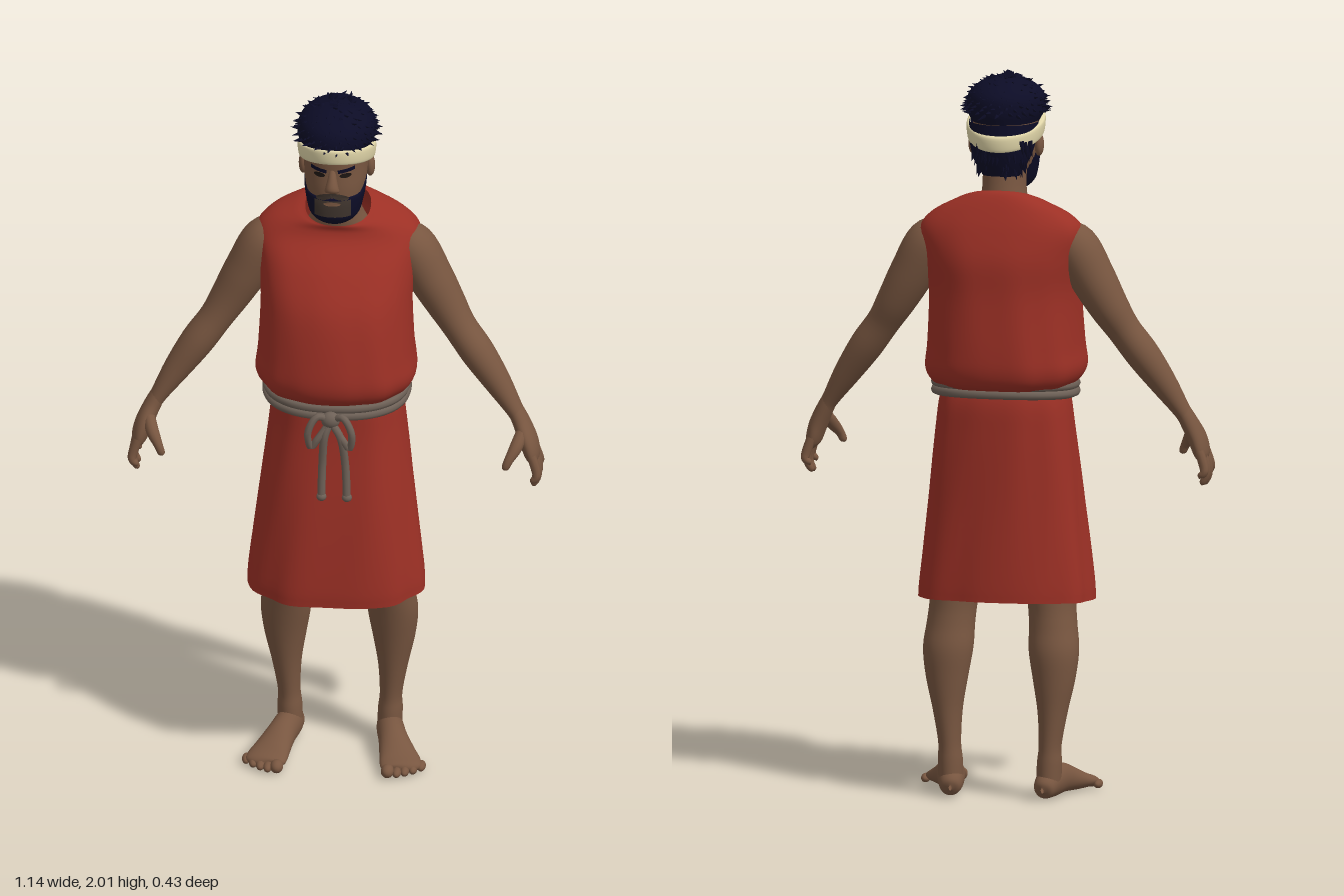
import * as THREE from 'three';
import { mergeGeometries } from 'three/addons/utils/BufferGeometryUtils.js';

const V = (x, y, z) => new THREE.Vector3(x, y, z);
const paint = (name, color) => {
  const m = new THREE.MeshStandardMaterial({ color, side: THREE.DoubleSide });
  m.name = name;
  return m;
};

// Smooth skin over elliptical rings [x, y, z, radiusU, radiusV].
// With no ref the rings stay level (U = x, V = z); otherwise they follow the path and V leans to ref.
function sweep(rows, { ref = null, segs = 28, steps = 5, power = 2, bend = null } = {}) {
  const path = new THREE.CatmullRomCurve3(rows.map(r => V(r[0], r[1], r[2])), false, 'catmullrom', 0.5);
  const radii = new THREE.CatmullRomCurve3(rows.map(r => V(r[3], r[4], 0)), false, 'catmullrom', 0.5);
  const n = (rows.length - 1) * steps, pos = [], index = [];
  const up = Math.sign(rows[rows.length - 1][1] - rows[0][1]);
  const round = c => Math.sign(c) * Math.abs(c) ** (2 / power);
  for (let i = 0; i <= n; i++) {
    const c = path.getPoint(i / n), r = radii.getPoint(i / n);
    const t = ref ? path.getTangent(i / n) : V(0, up, 0);
    const u = (ref || V(0, 0, 1)).clone().cross(t).normalize(), v = t.clone().cross(u);
    for (let j = 0; j < segs; j++) {
      const a = j / segs * Math.PI * 2;
      const p = c.clone().addScaledVector(u, Math.max(r.x, 0.0005) * round(Math.cos(a)))
        .addScaledVector(v, Math.max(r.y, 0.0005) * round(Math.sin(a)));
      if (bend) bend(p, a, i / n, c);
      pos.push(p.x, p.y, p.z);
      if (i < n) {
        const k = i * segs + j, l = i * segs + (j + 1) % segs;
        index.push(k, l, k + segs, l, l + segs, k + segs);
      }
    }
  }
  const g = new THREE.BufferGeometry();
  g.setAttribute('position', new THREE.Float32BufferAttribute(pos, 3));
  g.setIndex(index);
  g.computeVertexNormals();
  return g;
}

// Lays a flat geometry onto the front of a mesh
function drape(geo, target, lift) {
  const ray = new THREE.Raycaster(), p = geo.attributes.position;
  for (let i = 0; i < p.count; i++) {
    ray.set(V(p.getX(i), p.getY(i), 1), V(0, 0, -1));
    const hit = ray.intersectObject(target)[0];
    p.setZ(i, (hit ? hit.point.z : 0.1) + lift);
  }
  geo.computeVertexNormals();
  return geo;
}

export function createModel() {
  const model = new THREE.Group();
  const skin = paint('skin', 0x785640), cloth = paint('red cloth', 0x9c3025), hair = paint('dark hair', 0x0c0c26),
    rope = paint('rope', 0x6e6157), linen = paint('headband linen', 0xe0d5a8),
    stubble = paint('stubble', 0x40352e), dark = paint('eye dark', 0x1c1512);
  const add = (name, geo, mat) => {
    const m = new THREE.Mesh(geo, mat);
    m.name = name;
    model.add(m);
    return m;
  };
  const ball = (x, y, z, rx, ry, rz) => new THREE.SphereGeometry(1, 16, 12).scale(rx, ry, rz).translate(x, y, z);

  // Tunic: bloused top with a dipping neckline, and a flared skirt with soft folds
  const fold = (p, a, c, amount, count) => {
    const k = 1 + amount * Math.sin(a * count + 0.6) + amount * 0.5 * Math.sin(a * (count + 4) + p.y * 9);
    p.x = c.x + (p.x - c.x) * k;
    p.z = c.z + (p.z - c.z) * k;
  };
  const top = add('tunicTop', sweep([
    [0, 1.13, 0, 0.165, 0.135], [0, 1.15, 0, 0.2, 0.185], [0, 1.19, 0.002, 0.22, 0.208], [0, 1.26, 0, 0.213, 0.208],
    [0, 1.4, -0.01, 0.207, 0.188], [0, 1.5, -0.037, 0.217, 0.157], [0, 1.575, -0.058, 0.226, 0.115],
    [0, 1.62, -0.055, 0.19, 0.095], [0, 1.65, -0.042, 0.125, 0.085], [0, 1.658, -0.032, 0.09, 0.076]
  ], {
    segs: 64, power: 2.3, bend: (p, a, t, c) => {
      fold(p, a, c, 0.012 * (1 - t), 9);
      p.y -= 0.4 * (p.z - c.z) * THREE.MathUtils.smoothstep(t, 0.6, 1);
    }
  }), cloth);
  add('tunicSkirt', sweep([
    [0, 1.17, 0, 0.16, 0.13], [0, 1.1, -0.01, 0.178, 0.145], [0, 1.0, -0.01, 0.19, 0.15],
    [0, 0.8, 0, 0.213, 0.163], [0, 0.6, 0.005, 0.238, 0.174], [0, 0.54, 0.005, 0.242, 0.174]
  ], {
    segs: 64, power: 2.5, bend: (p, a, t, c) => {
      fold(p, a, c, 0.012 + 0.008 * t, 7);
      p.y -= 0.08 * t * p.z;
    }
  }), cloth);
  add('chestPocket', drape(new THREE.PlaneGeometry(0.09, 0.11, 10, 10).rotateZ(-0.08).translate(0.125, 1.415, 0), top, 0.007), cloth);
  add('pocketFlap', drape(new THREE.PlaneGeometry(0.1, 0.025, 10, 3).rotateZ(-0.12).translate(0.125, 1.465, 0), top, 0.012), cloth);

  // Rope belt of two strands, with knot, bows and tails
  for (const s of [-1, 1]) {
    const pts = Array.from({ length: 32 }, (_, i) => {
      const a = i / 32 * Math.PI * 2, r = c => Math.sign(c) * Math.abs(c) ** 0.85;
      return V(0.191 * r(Math.cos(a)), 1.128 + s * 0.011 - 0.013 * Math.sin(a), 0.157 * r(Math.sin(a)));
    });
    add('beltStrand', new THREE.TubeGeometry(new THREE.CatmullRomCurve3(pts, true), 96, 0.013, 8, true), rope);
    const cord = (name, list, r) => add(name, new THREE.TubeGeometry(
      new THREE.CatmullRomCurve3(list.map(q => V(...q))), 28, r, 8), rope);
    cord('beltBow', [[0, 1.1, 0.18], [s * 0.035, 1.12, 0.2], [s * 0.06, 1.075, 0.208], [s * 0.052, 1.025, 0.195],
      [s * 0.035, 1.05, 0.197], [0, 1.1, 0.185]], 0.01);
    const x = s > 0 ? 0.045 : -0.025;
    cord('beltTail', [[0, 1.1, 0.185], [x * 0.6, 1.06, 0.195], [x * 0.9, 0.97, 0.185], [x, 0.87, 0.187]], 0.011);
    add('beltTailEnd', ball(x, 0.872, 0.187, 0.014, 0.013, 0.013), rope);
  }
  add('beltKnot', ball(0, 1.105, 0.185, 0.026, 0.024, 0.02), rope);

  // Arms, hands, legs and feet
  for (const s of [-1, 1]) {
    const side = s > 0 ? 'left' : 'right';
    const limb = (name, rows, opts) => add(side + name, sweep(rows.map(r => [r[0] * s, ...r.slice(1)]), opts), skin);
    const Z = V(0, 0, 1), Y = V(0, 1, 0);
    limb('Arm', [[0.15, 1.575, -0.05, 0.03, 0.04], [0.2, 1.535, -0.05, 0.062, 0.07], [0.25, 1.445, -0.047, 0.062, 0.07],
      [0.295, 1.365, -0.042, 0.054, 0.062], [0.335, 1.3, -0.03, 0.046, 0.053], [0.385, 1.23, -0.018, 0.046, 0.053],
      [0.44, 1.15, -0.005, 0.037, 0.042], [0.488, 1.075, 0.008, 0.024, 0.032], [0.505, 1.045, 0.012, 0.022, 0.032]], { ref: Z });
    limb('Palm', [[0.49, 1.075, 0.008, 0.022, 0.03], [0.508, 1.04, 0.015, 0.024, 0.036], [0.528, 0.995, 0.028, 0.025, 0.049],
      [0.54, 0.955, 0.032, 0.021, 0.05], [0.545, 0.935, 0.033, 0.01, 0.035], [0.545, 0.93, 0.033, 0.001, 0.001]], { ref: Z });
    for (let f = 0; f < 4; f++) {
      const z = 0.07 - f * 0.026, e = z + (z - 0.03) * 0.25, tip = [0.885, 0.862, 0.866, 0.89][f];
      limb('Finger', [[0.54, 0.965, z, 0.013, 0.014], [0.553, 0.925, (z + e) / 2, 0.013, 0.013],
        [0.555, (0.925 + tip) / 2, e, 0.011, 0.011], [0.545, tip + 0.008, e, 0.009, 0.009], [0.542, tip, e, 0.001, 0.001]],
        { ref: Z, segs: 10, steps: 4 });
    }
    limb('Thumb', [[0.515, 1.03, 0.035, 0.016, 0.018], [0.5, 0.995, 0.077, 0.018, 0.018], [0.482, 0.965, 0.1, 0.013, 0.013],
      [0.472, 0.942, 0.106, 0.01, 0.01], [0.47, 0.935, 0.107, 0.001, 0.001]], { ref: Z, segs: 12 });

    limb('Leg', [[0.1, 0.9, -0.02, 0.08, 0.09], [0.12, 0.7, -0.03, 0.082, 0.09], [0.135, 0.55, -0.04, 0.067, 0.078],
      [0.142, 0.48, -0.052, 0.066, 0.073], [0.147, 0.41, -0.068, 0.069, 0.071], [0.149, 0.33, -0.076, 0.058, 0.061],
      [0.146, 0.24, -0.081, 0.041, 0.05], [0.14, 0.15, -0.085, 0.031, 0.042], [0.138, 0.1, -0.085, 0.034, 0.044],
      [0.136, 0.04, -0.085, 0.034, 0.046]]);
    limb('Foot', [[0.128, 0.03, -0.14, 0.004, 0.008], [0.13, 0.034, -0.127, 0.028, 0.029], [0.138, 0.046, -0.075, 0.037, 0.044],
      [0.152, 0.046, -0.01, 0.04, 0.042], [0.17, 0.032, 0.05, 0.05, 0.031], [0.182, 0.023, 0.09, 0.057, 0.022],
      [0.188, 0.018, 0.12, 0.05, 0.016], [0.189, 0.016, 0.13, 0.002, 0.002]], { ref: Y });
    for (let k = 0; k < 5; k++) {
      const r = k ? 0.0125 : 0.018;
      add(side + 'Toe', ball(s * (0.152 + k * 0.021 + (k ? 0.004 : 0)), r + 0.001, 0.142 - k * k * 0.0025 - k * 0.003, r, r, 0.025), skin);
    }
    // Ear
    add(side + 'Ear', ball(s * 0.092, 1.8, 0.005, 0.013, 0.032, 0.02).rotateX(0), skin);
  }

  // Neck, head and face
  add('neck', sweep([[0, 1.55, -0.05, 0.11, 0.07], [0, 1.615, -0.035, 0.082, 0.07], [0, 1.67, -0.022, 0.062, 0.066],
    [0, 1.76, -0.01, 0.06, 0.062]]), skin);
  const head = add('head', sweep([[0, 1.668, 0.06, 0.03, 0.035], [0, 1.69, 0.062, 0.06, 0.063], [0, 1.73, 0.05, 0.074, 0.083],
    [0, 1.78, 0.035, 0.084, 0.102], [0, 1.83, 0.02, 0.088, 0.115], [0, 1.88, 0.01, 0.09, 0.125],
    [0, 1.93, 0.005, 0.085, 0.112], [0, 1.97, 0, 0.05, 0.07], [0, 1.98, 0, 0.001, 0.001]], { segs: 40, power: 2.15 }), skin);
  const beard = add('beard', sweep([[0, 1.66, 0.068, 0.004, 0.005], [0, 1.668, 0.066, 0.04, 0.046], [0, 1.69, 0.066, 0.066, 0.07],
    [0, 1.72, 0.057, 0.077, 0.084], [0, 1.75, 0.044, 0.083, 0.097], [0, 1.758, 0.043, 0.079, 0.092]], {
    segs: 40, power: 2.15, bend: (p, a, t, c) => {
      // sideburns climb towards the ears
      const rise = THREE.MathUtils.smoothstep(t, 0.5, 1) * THREE.MathUtils.clamp((0.09 - p.z) / 0.07, 0, 1);
      p.y += 0.045 * rise;
      p.x *= 1 + 0.06 * rise;
    }
  }), hair);
  const disc = (x, y, rx, ry, tilt = 0) => new THREE.CircleGeometry(1, 20).scale(rx, ry, 1).rotateZ(tilt).translate(x, y, 0);
  add('chinStubble', drape(new THREE.PlaneGeometry(0.1, 0.05, 12, 6).translate(0, 1.727, 0), beard, 0.003), stubble);
  add('nose', sweep([[0, 1.845, 0.125, 0.008, 0.008], [0, 1.82, 0.137, 0.012, 0.014], [0, 1.795, 0.146, 0.018, 0.017],
    [0, 1.782, 0.143, 0.02, 0.014], [0, 1.775, 0.135, 0.004, 0.004]], { segs: 16 }), skin);
  add('lips', drape(disc(0, 1.744, 0.024, 0.006), beard, 0.006), skin);
  for (const s of [-1, 1]) {
    add('moustache', drape(disc(s * 0.02, 1.763, 0.027, 0.009, -s * 0.3), head, 0.006), stubble);
    add('eye', drape(disc(s * 0.036, 1.826, 0.016, 0.007), head, 0.003), dark);
    add('brow', drape(new THREE.PlaneGeometry(0.045, 0.011, 8, 2).rotateZ(s * 0.12).translate(s * 0.038, 1.843, 0), head, 0.007), hair);
  }

  // Headband, tilted down towards the back
  add('headband', sweep([[0, 1.825, 0.005, 0.094, 0.122], [0, 1.83, 0.005, 0.104, 0.133], [0, 1.865, 0.005, 0.107, 0.135],
    [0, 1.872, 0.005, 0.096, 0.122]], { segs: 48, bend: p => { p.y += 0.24 * p.z; } }), linen);

  // Hair: a cap, a nape piece and layered tufts
  const cap = [[0, 1.87, 0, 0.094, 0.115], [0, 1.9, 0.006, 0.107, 0.128], [0, 1.94, 0.004, 0.102, 0.122],
    [0, 1.968, 0.002, 0.075, 0.09], [0, 1.985, 0, 0.035, 0.045], [0, 1.988, 0, 0.001, 0.001]];
  const nape = [[0, 1.725, -0.072, 0.05, 0.025], [0, 1.77, -0.062, 0.078, 0.05], [0, 1.82, -0.042, 0.092, 0.08],
    [0, 1.87, -0.025, 0.096, 0.095]];
  add('hairCap', sweep(cap, { segs: 36 }), hair);
  add('napeHair', sweep(nape, { segs: 36 }), hair);
  let seed = 7;
  const rnd = () => (seed = (seed * 16807) % 2147483647) / 2147483647;
  const tufts = [];
  const tuft = (p, dir, len, r) => {
    const g = new THREE.ConeGeometry(r, len, 6).scale(1, 1, 0.7);
    g.applyQuaternion(new THREE.Quaternion().setFromUnitVectors(V(0, 1, 0), dir.normalize()));
    tufts.push(g.translate(p.x, p.y, p.z));
  };
  for (let i = 0; i < 190; i++) {
    const h = 1 - i / 190, a = i * 2.39996, w = Math.sqrt(1 - h * h);
    const n = V(w * Math.cos(a), h, w * Math.sin(a));
    const p = V(n.x * 0.1, 1.893 + n.y * 0.09, 0.004 + n.z * 0.122);
    const flow = V(n.x + rnd() - 0.5, -0.5 + rnd() * 0.6, n.z + rnd() - 0.5);
    tuft(p, flow.addScaledVector(n, 0.35), 0.045 + rnd() * 0.015, 0.017);
  }
  for (let i = 0; i < 40; i++) {
    const a = Math.PI * (1.08 + 0.84 * rnd()), k = rnd();
    const p = V((0.06 + 0.03 * k) * Math.cos(a), 1.735 + 0.07 * k, -0.06 + (0.035 + 0.025 * k) * Math.sin(a));
    tuft(p, V(Math.cos(a) * 0.3, -1, Math.sin(a) * 0.3), 0.045, 0.014);
  }
  add('hairTufts', mergeGeometries(tufts), hair);
  return model;
}
